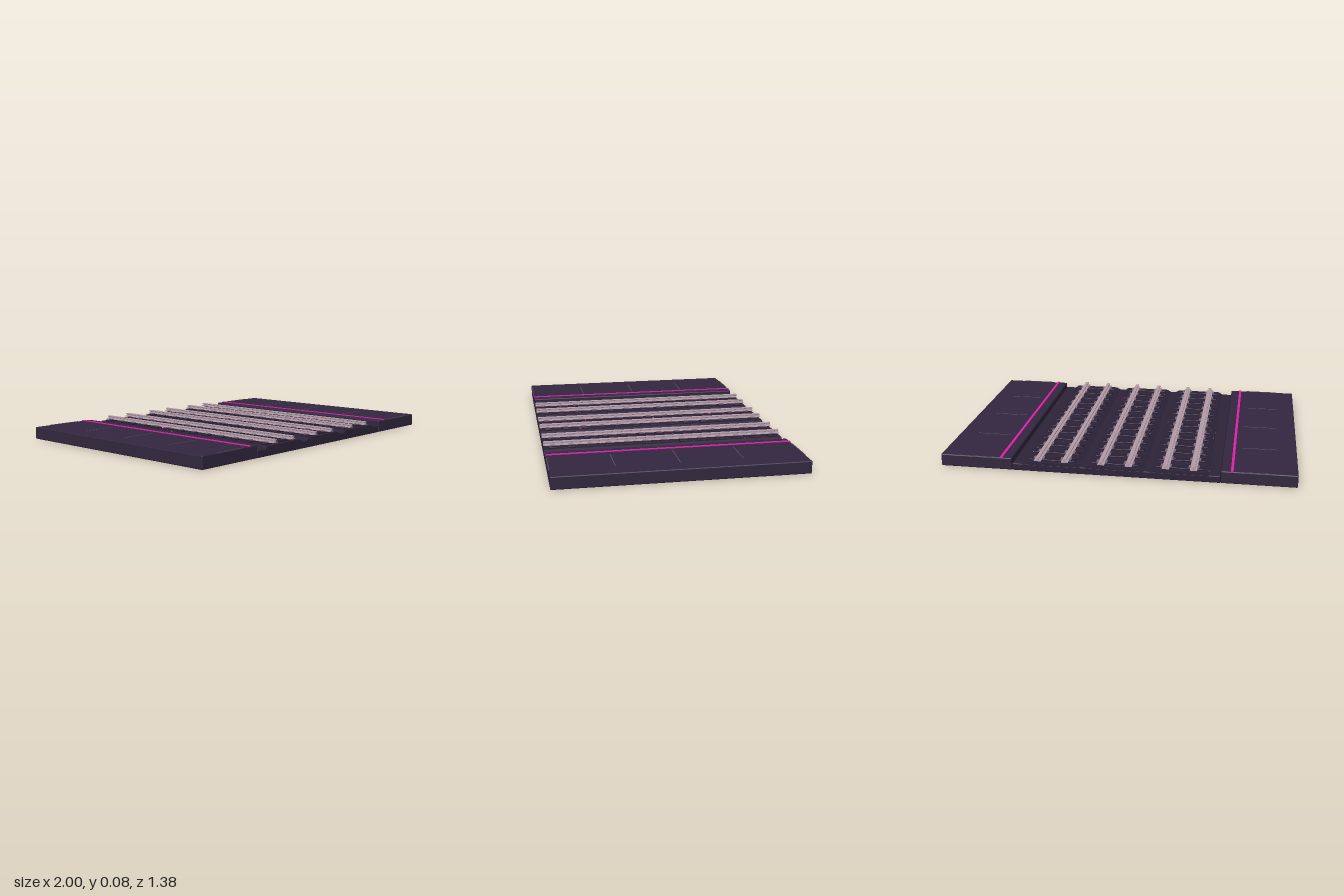
import * as THREE from 'three';
import { RoundedBoxGeometry } from 'three/addons/geometries/RoundedBoxGeometry.js';

const LENGTH = 1.384;
const TRACKS = [-0.36, 0, 0.36];
const GAUGE = 0.077; // half distance between rails

function material(name, color) {
  const m = new THREE.MeshStandardMaterial({ color });
  m.name = name;
  return m;
}

// Extrudes half of a symmetric profile ([x, y] from bottom to top) along z
function extrudeMirrored(half) {
  const pts = [...half, ...half.slice().reverse().map(([x, y]) => [-x, y])];
  const shape = new THREE.Shape(pts.map(([x, y]) => new THREE.Vector2(x, y)));
  const g = new THREE.ExtrudeGeometry(shape, { depth: LENGTH, bevelEnabled: false });
  return g.translate(0, 0, -LENGTH / 2);
}

export function createModel() {
  const slabMat = material('platform purple', 0x32273f);
  const bedMat = material('ballast purple', 0x2d2339);
  const sleeperMat = material('sleeper purple', 0x2a2036);
  const railMat = material('rail pink grey', 0xb39ba8);
  const clipMat = material('clip grey', 0x7d6c78);
  const lineMat = material('safety magenta', 0xe01fa8);
  const jointMat = material('joint grey', 0x57505a);
  const gapMat = material('shadow gap', 0x18121f);

  const model = new THREE.Group();
  model.name = 'railwayStationTracks';
  const add = (parent, name, geo, mat, x = 0, y = 0, z = 0) => {
    const mesh = new THREE.Mesh(geo, mat);
    mesh.name = name;
    mesh.position.set(x, y, z);
    parent.add(mesh);
    return mesh;
  };

  // Base under all tracks
  add(model, 'trackBase', new RoundedBoxGeometry(1.168, 0.04, LENGTH, 1, 0.004), bedMat, 0, 0.02, 0);

  // Platforms with safety lines and slab joints
  for (const s of [-1, 1]) {
    const platform = new THREE.Group();
    platform.name = s > 0 ? 'leftPlatform' : 'rightPlatform';
    model.add(platform);
    add(platform, 'platformSlab', new RoundedBoxGeometry(0.414, 0.071, LENGTH, 2, 0.006), slabMat, s * 0.793, 0.0355, 0);
    add(platform, 'platformGap', new THREE.BoxGeometry(0.006, 0.036, LENGTH - 0.01), gapMat, s * 0.585, 0.02, 0);
    add(platform, 'safetyLine', new THREE.BoxGeometry(0.015, 0.006, LENGTH), lineMat, s * 0.646, 0.072, 0);
    for (const z of [-0.69, -0.346, 0, 0.346, 0.69]) {
      add(platform, 'slabJoint', new THREE.BoxGeometry(0.204, 0.003, 0.005), jointMat, s * 0.79, 0.0705, z);
    }
  }

  // Shared track shapes
  const bedGeo = extrudeMirrored([[0.165, 0.038], [0.138, 0.054]]);
  const railGeo = extrudeMirrored([
    [0.02, 0.063], [0.02, 0.066], [0.005, 0.069], [0.005, 0.075], [0.01, 0.077], [0.01, 0.082], [0.008, 0.083],
  ]);
  const sleeperGeo = new RoundedBoxGeometry(0.264, 0.014, 0.044, 1, 0.003);
  const clipGeo = new THREE.BoxGeometry(0.012, 0.007, 0.03);

  // Seeded random numbers for scattered stones
  let seed = 11;
  const rand = () => (seed = (seed * 16807) % 2147483647) / 2147483647;

  TRACKS.forEach((x, t) => {
    const track = new THREE.Group();
    track.name = 'track' + (t + 1);
    track.position.x = x;
    model.add(track);
    add(track, 'ballastBed', bedGeo, bedMat);
    for (const r of [-GAUGE, GAUGE]) add(track, 'rail', railGeo, railMat, r);
    for (let i = -6; i <= 6; i++) {
      const z = i * 0.107;
      add(track, 'sleeper', sleeperGeo, sleeperMat, 0, 0.056, z);
      for (const r of [-GAUGE, GAUGE]) {
        for (const e of [-0.024, 0.024]) add(track, 'railClip', clipGeo, clipMat, r + e, 0.065, z);
      }
    }
  });

  // Scattered ballast stones, with a few bright chips
  const stoneGeo = new THREE.IcosahedronGeometry(1, 0);
  const stone = (name, mat, x, y, z, size) => {
    const m = add(model, name, stoneGeo, mat, x, y, z);
    m.scale.set(size, size * 0.6, size * (0.7 + 0.5 * rand()));
    m.rotation.y = rand() * 6;
  };
  for (let i = 0; i < 75; i++) {
    const x = TRACKS[i % 3] + (rand() - 0.5) * 0.32;
    const edge = Math.abs(x - TRACKS[i % 3]) > 0.14;
    stone('ballastStone', i % 4 ? bedMat : jointMat, x, edge ? 0.047 : 0.055, (rand() - 0.5) * 1.34, 0.005 + rand() * 0.005);
  }
  const chips = [[-0.32, -0.54], [-0.05, -0.4], [0.24, 0.01], [0.37, 0.12], [-0.4, 0.53], [-0.05, 0.4], [0.13, 0.45], [-0.46, -0.16]];
  for (const [x, z] of chips) stone('brightChip', lineMat, x, 0.06, z, 0.008);

  return model;
}
